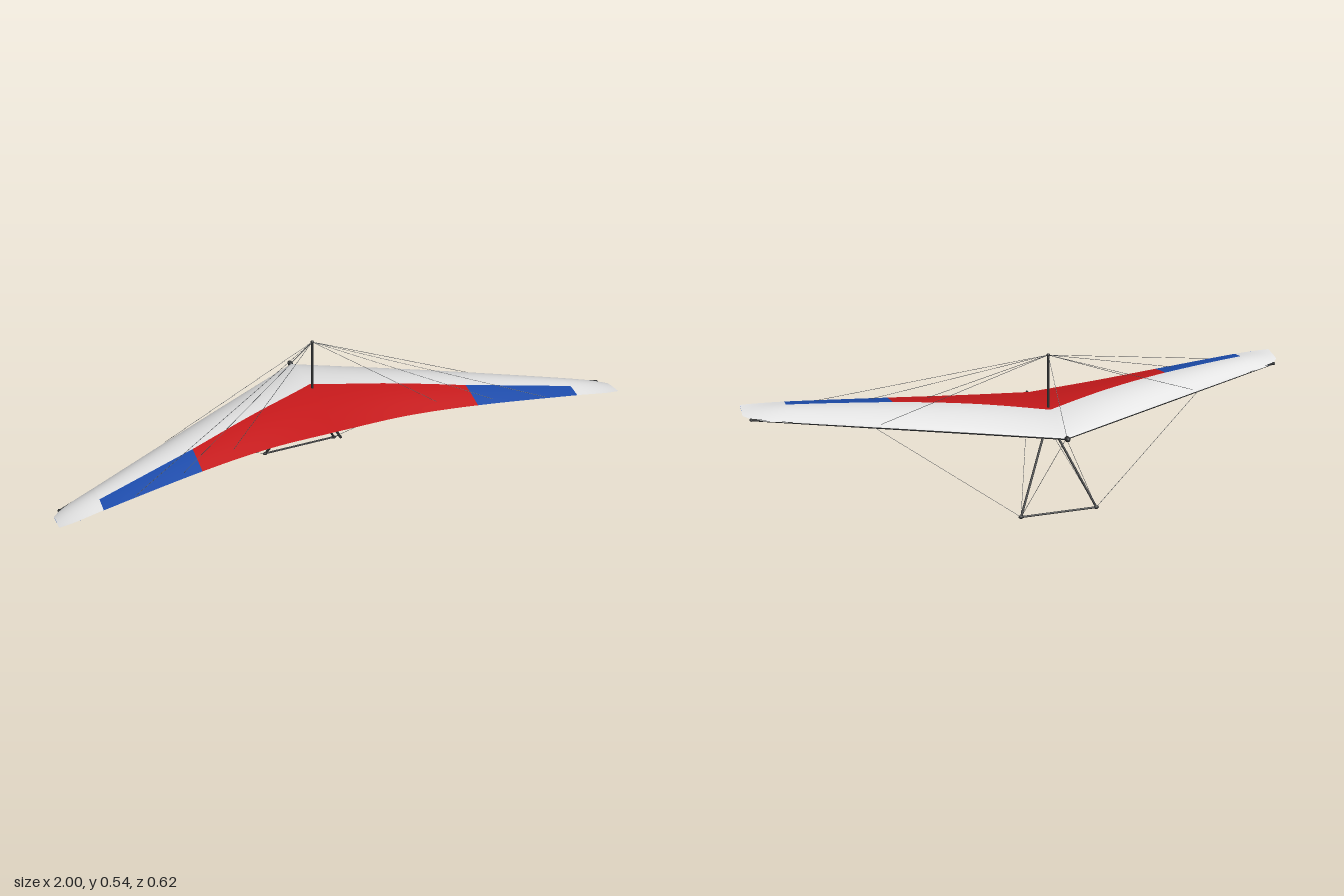
import * as THREE from 'three';

const mat = (name, color, side = THREE.FrontSide) => {
  const m = new THREE.MeshStandardMaterial({ color, side });
  m.name = name;
  return m;
};

// Half-span stations: x, leading z, trailing z, leading y, trailing y, upper camber, belly depth
const STATIONS = [
  [0, -0.29, 0.155, 0.315, 0.315, 0.031, 0.025],
  [0.25, -0.165, 0.172, 0.313, 0.325, 0.038, 0.014],
  [0.5, -0.039, 0.212, 0.31, 0.329, 0.034, 0.008],
  [0.85, 0.138, 0.284, 0.305, 0.327, 0.020, 0.004],
  [0.96, 0.194, 0.306, 0.304, 0.323, 0.009, 0.002],
  [1, 0.235, 0.309, 0.309, 0.322, 0.002, 0],
];

// Smooth interpolation of column k of a station table
function sample(table, x, k) {
  let i = 0;
  while (i < table.length - 2 && x > table[i + 1][0]) i++;
  const slope = (a, b) => (table[b][k] - table[a][k]) / (table[b][0] - table[a][0]);
  const last = table.length - 1;
  const h = table[i + 1][0] - table[i][0], t = (x - table[i][0]) / h;
  const m0 = slope(Math.max(i - 1, 0), i + 1) * h;
  const m1 = slope(i, Math.min(i + 2, last)) * h;
  const t2 = t * t, t3 = t2 * t;
  return (2 * t3 - 3 * t2 + 1) * table[i][k] + (t3 - 2 * t2 + t) * m0
    + (3 * t2 - 2 * t3) * table[i + 1][k] + (t3 - t2) * m1;
}

// Point on the sail: u runs from leading edge (0) to trailing edge (1)
function sailPoint(x, u, upper = true) {
  const [z0, z1, y0, y1, top, belly] = [1, 2, 3, 4, 5, 6].map((k) => sample(STATIONS, Math.abs(x), k));
  const hump = Math.sin(Math.PI * Math.pow(u, 0.75));
  const offset = upper ? top : 0.5 * top * u - 1.5 * belly * (1 - u);
  return new THREE.Vector3(x, y0 + (y1 - y0) * u + hump * offset, z0 + (z1 - z0) * u);
}

// Colour boundaries as chord fractions
const lerpTable = (table) => (x) => {
  let i = 0;
  while (i < table.length - 2 && x > table[i + 1][0]) i++;
  const [a, b] = [table[i], table[i + 1]];
  return a[1] + (b[1] - a[1]) * (x - a[0]) / (b[0] - a[0]);
};
const upperSplit = lerpTable([[0, 0.42], [0.5, 0.6], [0.85, 0.66]]);
const lowerRedSplit = lerpTable([[0, 0.42], [0.25, 0.32], [0.42, 0.24], [0.47, 0.27], [0.5, 0.4]]);
const lowerBlueSplit = lerpTable([[0.5, 0.68], [0.85, 0.7]]);
const lowerSplit = (x) => (x <= 0.5 ? lowerRedSplit(x) : lowerBlueSplit(x));
const lead = () => 0, trail = () => 1;

// One sail panel between two spans and two chord boundaries
function panelGeometry(side, x0, x1, uA, uB, upper) {
  const NX = Math.max(6, Math.round((x1 - x0) * 48)), NU = 16;
  const pos = [], index = [];
  for (let i = 0; i <= NX; i++) {
    const x = x0 + (x1 - x0) * i / NX;
    for (let j = 0; j <= NU; j++) {
      const t = j / NU;
      const a = uA(x), b = uB(x);
      const s = a === 0 ? Math.pow(t, 1.6) : t; // finer steps at the rounded nose
      pos.push(...sailPoint(side * x, a + (b - a) * s, upper).toArray());
    }
  }
  const flip = (side > 0) !== upper;
  for (let i = 0; i < NX; i++) for (let j = 0; j < NU; j++) {
    const a = i * (NU + 1) + j, b = a + 1, c = a + NU + 1, d = c + 1;
    if (flip) index.push(a, c, b, b, c, d);
    else index.push(a, b, c, b, d, c);
  }
  const g = new THREE.BufferGeometry();
  g.setAttribute('position', new THREE.Float32BufferAttribute(pos, 3));
  g.setIndex(index);
  g.computeVertexNormals();
  return g;
}

export function createModel() {
  const model = new THREE.Group();
  model.name = 'hangGlider';
  const white = mat('white sailcloth', 0xe4e4e4, THREE.DoubleSide);
  const red = mat('red sailcloth', 0xc8191b, THREE.DoubleSide);
  const blue = mat('blue sailcloth', 0x1c4cac, THREE.DoubleSide);
  const dark = mat('dark tubing', 0x2d2f30);
  const cable = mat('grey cable', 0x4a4d50);
  const steel = mat('steel', 0xd0d2d4);

  const add = (parent, name, geometry, material) => {
    const m = new THREE.Mesh(geometry, material);
    m.name = name;
    parent.add(m);
    return m;
  };
  const group = (name) => {
    const g = new THREE.Group();
    g.name = name;
    model.add(g);
    return g;
  };
  const V = (x, y, z) => new THREE.Vector3(x, y, z);
  const rod = (parent, name, a, b, r0, r1 = r0, material = dark, sides = 12) => {
    const dir = b.clone().sub(a);
    const m = add(parent, name, new THREE.CylinderGeometry(r1, r0, dir.length(), sides), material);
    m.position.copy(a).addScaledVector(dir, 0.5);
    m.quaternion.setFromUnitVectors(V(0, 1, 0), dir.normalize());
    return m;
  };
  const ball = (parent, name, p, r) => {
    const m = add(parent, name, new THREE.SphereGeometry(r, 16, 12), dark);
    m.position.copy(p);
    return m;
  };

  // Sail panels: name, spans, chord boundaries, upper or lower skin, colour
  const panels = [
    ['upperFrontPanel', 0, 0.85, lead, upperSplit, true, white],
    ['upperCentrePanel', 0, 0.5, upperSplit, trail, true, red],
    ['upperOuterPanel', 0.5, 0.85, upperSplit, trail, true, blue],
    ['upperTipPanel', 0.85, 1, lead, trail, true, white],
    ['lowerFrontPanel', 0, 0.5, lead, lowerRedSplit, false, white],
    ['lowerCentrePanel', 0, 0.5, lowerSplit, trail, false, red],
    ['lowerMiddlePanel', 0.5, 0.85, lead, lowerBlueSplit, false, white],
    ['lowerOuterPanel', 0.5, 0.85, lowerBlueSplit, trail, false, blue],
    ['lowerGapPanel', 0.85, 0.88, lead, trail, false, white],
    ['lowerTipPanel', 0.88, 1, lead, trail, false, blue],
  ];
  const sail = group('sail');
  for (const side of [1, -1]) for (const [name, x0, x1, a, b, upper, m] of panels)
    add(sail, (side > 0 ? 'left ' : 'right ') + name, panelGeometry(side, x0, x1, a, b, upper), m);

  // Frame: keel, nose cap, leading edge tubes and king post
  const frame = group('frame');
  ball(frame, 'noseCap', V(0, 0.315, -0.295), 0.0095).scale.z = 1.45;
  rod(frame, 'keel', V(0, 0.313, -0.295), V(0, 0.307, 0.18), 0.0045);
  const mastTop = V(0, 0.535, -0.079);
  rod(frame, 'kingPost', V(0, 0.305, -0.079), mastTop, 0.004);
  ball(frame, 'kingPostCap', mastTop, 0.006);
  for (const s of [1, -1]) {
    const tip = V(s * 0.975, 0.303, 0.205);
    rod(frame, 'leadingEdgeTube', V(0, 0.312, -0.279), tip, 0.006, 0.0042);
    ball(frame, 'leadingEdgeCap', tip, 0.0055).scale.z = 1.5;
  }

  // Control frame
  const control = group('controlFrame');
  const apex = V(0, 0.302, -0.077);
  const corner = (s) => V(s * 0.135, 0.0085, -0.207);
  rod(control, 'baseBar', corner(-1), corner(1), 0.0035);
  for (const s of [1, -1]) {
    rod(control, 'downTube', apex, corner(s), 0.004);
    ball(control, 'cornerJoint', corner(s), 0.0062).scale.x = 1.5;
  }

  // Rigging wires
  const wires = group('wires');
  const wire = (name, a, b) => rod(wires, name, a, b, 0.0008, 0.0008, cable, 6);
  wire('upperNoseWire', mastTop, V(0, 0.321, -0.287));
  for (const s of [1, -1]) {
    wire('upperSideWire', mastTop, V(s * 0.565, 0.318, 0));
    for (const [x, u] of [[0.37, 0.86], [0.56, 0.91], [0.74, 0.97]])
      wire('reflexWire', mastTop, sailPoint(s * x, u));
    wire('lowerNoseWire', corner(s), V(0, 0.313, -0.283));
    wire('lowerSideWire', corner(s), V(s * 0.585, 0.307, 0.005));
    wire('lowerRearWire', corner(s), V(0, 0.305, 0.165));
  }

  // Hang strap and ring below the keel
  const hang = group('hangPoint');
  add(hang, 'strap', new THREE.BoxGeometry(0.006, 0.022, 0.005), red).position.set(0, 0.298, -0.026);
  const ring = add(hang, 'ring', new THREE.TorusGeometry(0.006, 0.0013, 8, 20), steel);
  ring.rotation.y = Math.PI / 2;
  ring.scale.y = 1.4;
  ring.position.set(0, 0.293, -0.03);

  return model;
}
